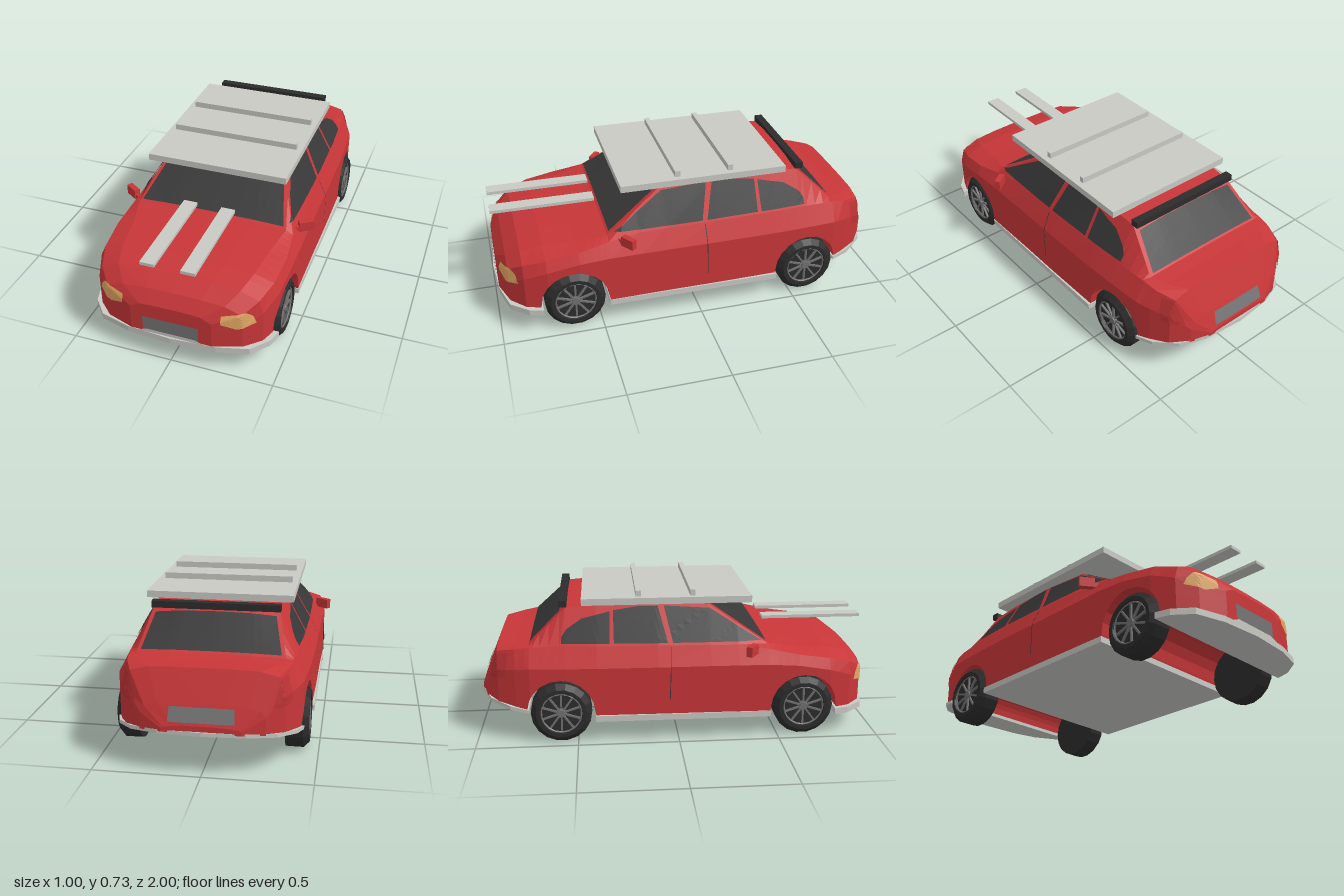
import * as THREE from 'three';

const mat = (name, color, thin) => new THREE.MeshStandardMaterial({
  name, color, flatShading: true, side: thin ? THREE.DoubleSide : THREE.FrontSide });
const lerp = THREE.MathUtils.lerp;

const WHEELS = [0.63, -0.58], WHEEL_Y = 0.152, ARCH = 0.168;

// Body stations: z, bottom y, side x, side top y, belt x, belt y, pillar x, pillar y, centre y
const STATIONS = [
  [0.985, 0.135, 0.20, 0.22, 0.20, 0.27, 0.15, 0.295, 0.30],
  [0.94, 0.135, 0.335, 0.25, 0.33, 0.32, 0.25, 0.35, 0.36],
  [0.87, 0.135, 0.41, 0.30, 0.39, 0.365, 0.30, 0.40, 0.41],
  [0.76, 0.135, 0.45, 0.34, 0.425, 0.395, 0.33, 0.425, 0.437],
  [0.60, 0.135, 0.46, 0.37, 0.435, 0.42, 0.35, 0.442, 0.453],
  [0.45, 0.135, 0.46, 0.38, 0.42, 0.45, 0.385, 0.468, 0.475],
  [0.30, 0.135, 0.458, 0.38, 0.41, 0.472, 0.347, 0.565, 0.575],
  [0.16, 0.135, 0.456, 0.38, 0.41, 0.475, 0.30, 0.657, 0.668],
  [-0.10, 0.135, 0.455, 0.38, 0.41, 0.478, 0.31, 0.667, 0.676],
  [-0.40, 0.135, 0.45, 0.38, 0.405, 0.48, 0.305, 0.664, 0.676],
  [-0.55, 0.135, 0.443, 0.38, 0.395, 0.48, 0.30, 0.652, 0.668],
  [-0.73, 0.16, 0.43, 0.38, 0.38, 0.476, 0.345, 0.482, 0.487],
  [-0.80, 0.17, 0.405, 0.37, 0.37, 0.465, 0.31, 0.475, 0.478],
  [-0.89, 0.185, 0.36, 0.36, 0.335, 0.45, 0.25, 0.47, 0.475],
  [-0.95, 0.197, 0.28, 0.28, 0.26, 0.31, 0.20, 0.325, 0.33],
  [-0.985, 0.204, 0.18, 0.222, 0.17, 0.228, 0.12, 0.234, 0.238],
];

function stationAt(z) {
  let i = 0;
  while (i < STATIONS.length - 2 && z < STATIONS[i + 1][0]) i++;
  const a = STATIONS[i], b = STATIONS[i + 1], t = (z - a[0]) / (b[0] - a[0]);
  return a.map((v, k) => lerp(v, b[k], t));
}

// Lofted shell whose bottom rises over the wheels
function bodyGeometry() {
  const zs = STATIONS.map(s => s[0]);
  for (const c of WHEELS) {
    zs.push(c + ARCH + 0.004, c - ARCH - 0.004);
    for (let k = 0; k <= 10; k++) zs.push(c + ARCH * Math.cos(k * Math.PI / 10));
  }
  zs.sort((a, b) => b - a);
  const pos = [], idx = [], n = 14;
  for (const z of zs) {
    let [, yb, w, ym, wt, yt, xp, yp, yc] = stationAt(z);
    for (const c of WHEELS) {
      const d = Math.abs(z - c);
      if (d < ARCH + 1e-6) yb = Math.max(yb, WHEEL_Y + Math.sqrt(Math.max(0, ARCH * ARCH - d * d)));
    }
    const half = [[w, yb], [w, (yb + ym) / 2], [w, ym], [wt, yt], [xp, yp], [xp * 0.55, lerp(yp, yc, 0.8)]];
    const ring = [[0, yb], ...half, [0, yc], ...half.slice().reverse().map(([x, y]) => [-x, y])];
    ring.forEach(([x, y]) => pos.push(x, y, z));
  }
  for (let i = 0; i < zs.length - 1; i++) for (let j = 0; j < n; j++) {
    const k = (j + 1) % n, a = i * n + j, b = i * n + k, c = b + n, d = a + n;
    idx.push(a, d, c, a, c, b);
  }
  const last = (zs.length - 1) * n;
  for (let j = 1; j < n - 1; j++) idx.push(0, j, j + 1, last, last + j + 1, last + j);
  const g = new THREE.BufferGeometry();
  g.setAttribute('position', new THREE.Float32BufferAttribute(pos, 3));
  g.setIndex(idx);
  g.computeVertexNormals();
  return g;
}

function along(line, u) {
  const s = u * (line.length - 1), i = Math.min(Math.floor(s), line.length - 2);
  return [0, 1].map(k => lerp(line[i][k], line[i + 1][k], s - i));
}

// Thin panel between two 2D lines, projected onto the body from one direction
function drape(body, from, lineA, lineB, cols = 12, rows = 6) {
  const ray = new THREE.Raycaster(), dir = from.clone().negate();
  const pos = [], idx = [];
  let depth = 0.9;
  for (let i = 0; i <= cols; i++) for (let j = 0; j <= rows; j++) {
    const a = along(lineA, i / cols), b = along(lineB, i / cols);
    const p = lerp(a[0], b[0], j / rows) + 1e-4, q = lerp(a[1], b[1], j / rows);
    const at = d => from.x ? new THREE.Vector3(d * from.x, q, p)
      : from.y ? new THREE.Vector3(p, d, q) : new THREE.Vector3(p, q, d * from.z);
    ray.set(at(3), dir);
    const hit = ray.intersectObject(body)[0];
    if (hit) depth = 3 - hit.distance;
    const v = at(depth);
    v.addScaledVector(hit ? hit.face.normal : from, 0.005);
    pos.push(v.x, v.y, v.z);
    if (i < cols && j < rows) {
      const o = i * (rows + 1) + j, r = o + rows + 1;
      idx.push(o, r, r + 1, o, r + 1, o + 1);
    }
  }
  const g = new THREE.BufferGeometry();
  g.setAttribute('position', new THREE.Float32BufferAttribute(pos, 3));
  g.setIndex(idx);
  g.computeVertexNormals();
  return g;
}

// Horizontal slab from a mirrored plan outline, optionally sloping along z
function slab(half, y0, height, slope = 0) {
  const pts = [...half, ...half.slice(0, -1).reverse().map(([x, z]) => [-x, z])];
  const shape = new THREE.Shape(pts.map(([x, z]) => new THREE.Vector2(x, -z)));
  const g = new THREE.ExtrudeGeometry(shape, { depth: height, bevelEnabled: false });
  g.rotateX(-Math.PI / 2);
  const p = g.attributes.position;
  for (let i = 0; i < p.count; i++) p.setY(i, p.getY(i) + y0 + slope * (p.getZ(i) - half[0][1]));
  g.computeVertexNormals();
  return g;
}

export function createModel() {
  const model = new THREE.Group();
  const red = mat('red paint', 0xc83638), glass = mat('dark glass', 0x383838, true);
  const trim = mat('light grey trim', 0xc8c9c3), lip = mat('light grey panel', 0xc8c9c3, true);
  const plate = mat('plate grey', 0x747474, true), lamp = mat('amber lamp', 0xe3a663, true);
  const tail = mat('tail light red', 0xbc3234, true), tyreMat = mat('tyre black', 0x2c2c2c);
  const rim = mat('rim grey', 0x707070);

  const add = (name, geo, material, x = 0, y = 0, z = 0, parent = model) => {
    const m = new THREE.Mesh(geo, material);
    m.name = name;
    m.position.set(x, y, z);
    parent.add(m);
    return m;
  };
  const box = (w, h, d) => new THREE.BoxGeometry(w, h, d);

  const body = add('body', bodyGeometry(), red);
  const V = (x, y, z) => new THREE.Vector3(x, y, z);
  const panel = (name, material, from, a, b, cols, rows) => add(name, drape(body, from, a, b, cols, rows), material);

  // Windscreen and rear window
  panel('windscreen', glass, V(0, 1, 0), [[-0.368, 0.438], [0.368, 0.438]], [[-0.288, 0.172], [0.288, 0.172]], 16, 8);
  panel('rearWindow', glass, V(0, 1, 0), [[-0.285, -0.575], [0.285, -0.575]], [[-0.325, -0.722], [0.325, -0.722]], 16, 6);
  add('rearRoofTrim', box(0.61, 0.032, 0.04), tyreMat, 0, 0.67, -0.563);

  // Number plate panels and front lip
  panel('frontPlate', plate, V(0, 0, 1), [[-0.138, 0.155], [0.138, 0.155]], [[-0.138, 0.228], [0.138, 0.228]]);
  panel('frontLip', lip, V(0, 0, 1), [[-0.165, 0.138], [0.165, 0.138]], [[-0.122, 0.155], [0.122, 0.155]]);
  panel('rearPlate', plate, V(0, 0, -1), [[-0.15, 0.25], [0.15, 0.25]], [[-0.145, 0.315], [0.145, 0.315]]);

  // Bumpers and sill plate
  add('frontBumper', slab([[0.462, 0.79], [0.442, 0.86], [0.37, 0.945], [0.22, 0.985], [0, 1]], 0.107, 0.031), trim);
  add('rearBumper', slab([[0.435, -0.74], [0.41, -0.83], [0.33, -0.93], [0.2, -0.98], [0, -1]], 0.15, 0.018, -0.18), trim);
  add('sillPlate', box(0.926, 0.03, 0.874), trim, 0, 0.123, 0.025);

  // Roof board with cross bars
  add('roofBoard', box(0.71, 0.033, 0.84), trim, 0, 0.689, -0.05);
  for (const z of [0.08, -0.19]) add('roofBar', box(0.65, 0.03, 0.026), trim, 0, 0.72, z);

  // Wheel shapes
  const tyreGeo = new THREE.LatheGeometry([[0, -0.055], [0.15, -0.055], [0.151, 0.03], [0.125, 0.055],
    [0.105, 0.055], [0.1, 0.035], [0, 0.035]].map(([r, y]) => new THREE.Vector2(r, y)), 18);
  const ringGeo = new THREE.TorusGeometry(0.1, 0.005, 4, 18).rotateX(Math.PI / 2);
  const hubGeo = new THREE.CylinderGeometry(0.02, 0.024, 0.016, 10);
  const spokeGeo = box(0.085, 0.01, 0.009).translate(0.055, 0, 0);

  for (const s of [1, -1]) {
    const side = V(s, 0, 0);
    // Side windows
    panel('frontSideWindow', glass, side, [[0.415, 0.484], [-0.025, 0.487]],
      [[0.40, 0.492], [0.27, 0.572], [0.165, 0.636], [-0.065, 0.654]], 15);
    panel('rearSideWindow', glass, side, [[-0.05, 0.487], [-0.315, 0.49]], [[-0.095, 0.654], [-0.2, 0.653], [-0.315, 0.637]]);
    panel('quarterWindow', glass, side, [[-0.335, 0.49], [-0.57, 0.49]],
      [[-0.332, 0.633], [-0.47, 0.602], [-0.545, 0.555], [-0.57, 0.52]]);
    panel('doorSeam', glass, side, [[-0.034, 0.47], [-0.038, 0.47]], [[-0.042, 0.21], [-0.046, 0.21]], 1, 10);

    // Lamps
    panel('headlight', lamp, V(0, 0, 1), [[0.24, 0.27], [0.31, 0.245], [0.385, 0.265]].map(([x, y]) => [s * x, y]),
      [[0.24, 0.31], [0.345, 0.33], [0.372, 0.30]].map(([x, y]) => [s * x, y]), 12, 6);
    panel('tailLight', tail, side, [[-0.85, 0.33], [-0.93, 0.31]], [[-0.83, 0.445], [-0.89, 0.44]], 6, 6);

    // Raised bonnet strip
    add('bonnetStrip', box(0.07, 0.016, 0.52), trim, s * 0.0975, 0.532, 0.725);

    // Door mirror
    const mirror = new THREE.Group();
    mirror.name = 'doorMirror';
    mirror.position.set(s * 0.46, 0.457, 0.36);
    mirror.rotation.y = s * 0.6;
    model.add(mirror);
    add('mirrorHousing', box(0.075, 0.05, 0.03), red, 0, 0, 0, mirror);
    add('mirrorStalk', box(0.05, 0.025, 0.02), red, -s * 0.045, -0.01, 0, mirror);

    // Wheels
    for (const z of WHEELS) {
      const wheel = new THREE.Group();
      wheel.name = z > 0 ? 'frontWheel' : 'rearWheel';
      wheel.position.set(s * 0.4, WHEEL_Y, z);
      wheel.rotation.z = -s * Math.PI / 2;
      model.add(wheel);
      add('tyre', tyreGeo, tyreMat, 0, 0, 0, wheel);
      add('rimRing', ringGeo, rim, 0, 0.045, 0, wheel);
      add('hub', hubGeo, rim, 0, 0.043, 0, wheel);
      for (let k = 0; k < 10; k++)
        add('spoke', spokeGeo, rim, 0, 0.04, 0, wheel).rotation.y = k * Math.PI / 5;
    }
  }
  return model;
}
